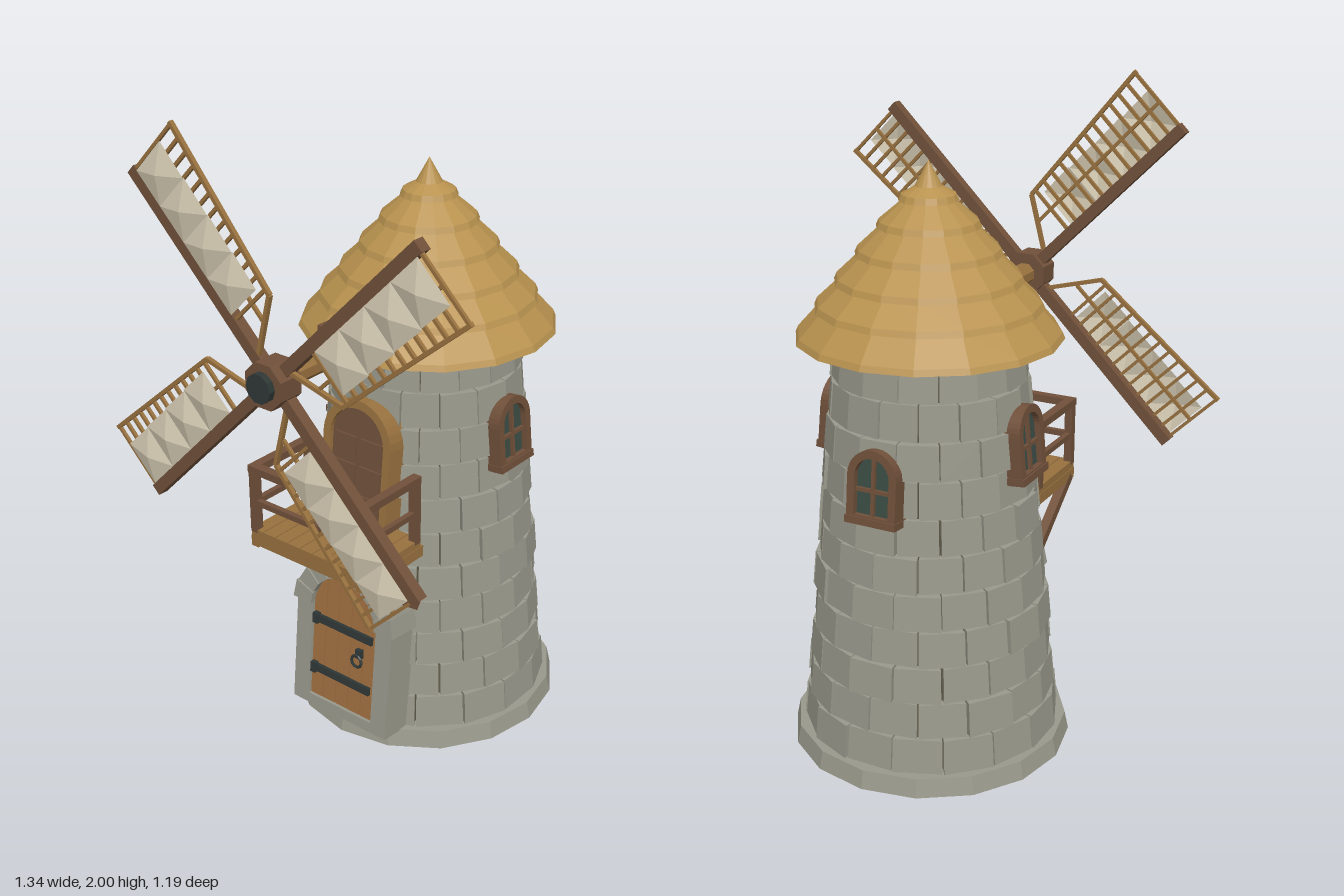
import * as THREE from 'three';
import { mergeGeometries } from 'three/addons/utils/BufferGeometryUtils.js';

const mat = (name, color, side = THREE.FrontSide) =>
  new THREE.MeshStandardMaterial({ name, color, side, flatShading: true });

const M = {
  stone: mat('stone', 0x9a998c),
  mortar: mat('mortar', 0x57523f),
  thatch: mat('thatch', 0xb8924f),
  darkWood: mat('dark wood', 0x70503a),
  wood: mat('wood', 0x98713f),
  doorWood: mat('door wood', 0xa06f40),
  canvas: mat('canvas', 0xd6ccb4, THREE.DoubleSide),
  iron: mat('iron', 0x2f3836),
  glass: mat('glass', 0x3c4c45),
};

function add(parent, name, geo, material, x = 0, y = 0, z = 0) {
  const m = new THREE.Mesh(geo, material);
  m.name = name;
  m.position.set(x, y, z);
  parent.add(m);
  return m;
}
const box = (p, name, m, w, h, d, x, y, z) => add(p, name, new THREE.BoxGeometry(w, h, d), m, x, y, z);

// Square beam between two points
function beam(p, name, m, a, b, w, d = w) {
  const A = new THREE.Vector3(...a), B = new THREE.Vector3(...b);
  const mesh = box(p, name, m, w, A.distanceTo(B), d, 0, 0, 0);
  mesh.position.addVectors(A, B).multiplyScalar(0.5);
  mesh.quaternion.setFromUnitVectors(new THREE.Vector3(0, 1, 0), B.sub(A).normalize());
  return mesh;
}

function group(parent, name, x = 0, y = 0, z = 0) {
  const g = new THREE.Group();
  g.name = name;
  g.position.set(x, y, z);
  parent.add(g);
  return g;
}

// Round-topped outline of half width hw from y0 to y1
function arch(hw, y0, y1, Type = THREE.Shape) {
  const s = new Type();
  s.moveTo(-hw, y0);
  s.lineTo(hw, y0);
  s.lineTo(hw, y1 - hw);
  s.absarc(0, y1 - hw, hw, 0, Math.PI, false);
  s.lineTo(-hw, y0);
  return s;
}
const extrude = (shape, depth) =>
  new THREE.ExtrudeGeometry(shape, { depth, bevelEnabled: false, curveSegments: 8 });
function archRing(outer, inner, depth) {
  const s = arch(...outer);
  s.holes.push(arch(...inner, THREE.Path));
  return extrude(s, depth);
}

const SLOPE = 0.095;
const wallR = y => 0.395 - SLOPE * (y - 0.055);

// Group on the wall at height y, facing outward and leaning with the taper
function onWall(tower, name, y, angle) {
  const r = wallR(y);
  const g = group(tower, name, Math.sin(angle) * r, y, Math.cos(angle) * r);
  g.rotation.set(-Math.atan(SLOPE), angle, 0, 'YXZ');
  return g;
}

function buildWall(tower) {
  let seed = 7;
  const rnd = () => (seed = (seed * 16807) % 2147483647) / 2147483647;
  add(tower, 'plinth', new THREE.CylinderGeometry(0.425, 0.437, 0.057, 16), M.stone, 0, 0.0285, 0);
  add(tower, 'wallCore', new THREE.CylinderGeometry(wallR(1.29) - 0.02, wallR(0.04) - 0.02, 1.25, 16), M.mortar, 0, 0.665, 0);
  // Staggered courses of blocks bent around the tower
  const rows = 11, count = 16, h = (1.29 - 0.055) / rows, stones = [];
  for (let i = 0; i < rows; i++) {
    for (let k = 0; k < count; k++) {
      const step = (Math.PI * 2) / count;
      const mid = (k + (i % 2) * 0.5) * step, half = step * (0.47 + rnd() * 0.02);
      const jut = rnd() * 0.012;
      const g = new THREE.BoxGeometry(1, 1, 1), p = g.attributes.position;
      for (let v = 0; v < p.count; v++) {
        const a = mid + p.getX(v) * 2 * half;
        const y = 0.055 + h * (i + 0.5) + p.getY(v) * (h - 0.006);
        const r = p.getZ(v) > 0 ? wallR(y) + jut : wallR(y) - 0.04;
        p.setXYZ(v, Math.sin(a) * r, y, Math.cos(a) * r);
      }
      g.computeVertexNormals();
      stones.push(g);
    }
  }
  add(tower, 'wallStones', mergeGeometries(stones), M.stone);
}

function buildRoof(tower) {
  add(tower, 'eaveRing', new THREE.CylinderGeometry(0.345, 0.345, 0.02, 16), M.darkWood, 0, 1.292, 0);
  // Overlapping thatch tiers as one stepped profile
  const rims = [[0.397, 1.295], [0.338, 1.383], [0.278, 1.46], [0.216, 1.54], [0.153, 1.62], [0.088, 1.695]];
  const pts = [[0, 1.3]];
  rims.forEach(([r, y], i) => {
    pts.push([r, y], [r - 0.008, y + 0.018]);
    const next = rims[i + 1];
    if (next) pts.push([next[0] - 0.018, next[1] + 0.006]);
  });
  pts.push([0.04, 1.735], [0, 1.808]);
  add(tower, 'thatchRoof', new THREE.LatheGeometry(pts.map(p => new THREE.Vector2(...p)), 16), M.thatch);
}

function buildWindow(tower, y, angle) {
  const g = onWall(tower, 'window', y, angle);
  add(g, 'windowFrame', archRing([0.08, 0, 0.222], [0.056, 0.026, 0.198], 0.07), M.darkWood, 0, 0, -0.035);
  add(g, 'windowGlass', extrude(arch(0.058, 0.02, 0.2), 0.03), M.glass, 0, 0, -0.014);
  box(g, 'mullion', M.darkWood, 0.011, 0.18, 0.014, 0, 0.11, 0.02);
  box(g, 'crossbar', M.darkWood, 0.114, 0.011, 0.014, 0, 0.1, 0.02);
  box(g, 'windowSill', M.darkWood, 0.166, 0.022, 0.08, 0, 0.01, 0);
}

function buildEntrance(tower) {
  const g = onWall(tower, 'entrance', 0.055, 0);
  const spring = 0.365, r = 0.13;
  add(g, 'doorSurround', archRing([0.192, 0, 0.557], [r, 0.035, spring + r], 0.155), M.stone, 0, 0, -0.1);
  // Wedge stones over the arch
  const n = 9;
  for (let i = 0; i < n; i++) {
    const a0 = (Math.PI * (i + 0.05)) / n, a1 = (Math.PI * (i + 0.95)) / n, R = i % 2 ? 0.196 : 0.203;
    const s = new THREE.Shape([[r, a0], [R, a0], [R, a1], [r, a1]].map(([q, a]) =>
      new THREE.Vector2(Math.cos(a) * q, Math.sin(a) * q)));
    add(g, 'archStone', extrude(s, 0.14), M.stone, 0, spring, -0.075);
  }
  add(g, 'doorBacking', extrude(arch(r, 0.03, spring + r), 0.05), M.darkWood, 0, 0, -0.02);
  // Planks cut to the arch
  const w = 0.052, top = x => spring + Math.sqrt(Math.max(0, r * r - x * x));
  for (let i = -2; i <= 2; i++) {
    const x0 = i * w - w / 2 + 0.002, x1 = i * w + w / 2 - 0.002;
    const s = new THREE.Shape([[x0, 0.036], [x1, 0.036], [x1, top(x1)], [i * w, top(i * w)], [x0, top(x0)]]
      .map(p => new THREE.Vector2(...p)));
    add(g, 'doorPlank', extrude(s, 0.02), M.doorWood, 0, 0, 0.025);
  }
  for (const y of [0.14, 0.32]) {
    box(g, 'hingeStrap', M.iron, 0.23, 0.026, 0.012, 0, y, 0.05);
    box(g, 'hingePin', M.iron, 0.02, 0.036, 0.02, -0.112, y, 0.052);
  }
  box(g, 'handlePlate', M.iron, 0.022, 0.03, 0.016, 0.068, 0.26, 0.052);
  add(g, 'handleRing', new THREE.TorusGeometry(0.02, 0.005, 5, 10), M.iron, 0.068, 0.238, 0.064);
}

function buildBalconyDoor(tower) {
  const g = onWall(tower, 'balconyDoor', 0.73, 0);
  add(g, 'balconyDoorFrame', archRing([0.13, 0, 0.41], [0.103, 0.005, 0.383], 0.08), M.wood, 0, 0, -0.04);
  add(g, 'balconyDoorLeaf', extrude(arch(0.105, 0.002, 0.385), 0.05), M.darkWood, 0, 0, -0.025);
  for (const x of [-0.05, 0.05])
    for (const y of [0.065, 0.16, 0.25]) box(g, 'doorPanel', M.darkWood, 0.084, 0.075, 0.01, x, y, 0.028);
}

function buildBalcony(root) {
  const g = group(root, 'balcony');
  for (let i = -4; i <= 4; i++) box(g, 'floorPlank', M.wood, 0.046, 0.028, 0.27, i * 0.0495, 0.726, 0.285);
  box(g, 'frontJoist', M.wood, 0.445, 0.03, 0.028, 0, 0.7, 0.405);
  for (const x of [-0.209, 0.209]) {
    box(g, 'sideJoist', M.wood, 0.028, 0.035, 0.28, x, 0.697, 0.28);
    beam(g, 'brace', M.darkWood, [x, 0.69, 0.4], [x, 0.51, 0.16], 0.03);
    for (const z of [0.408, 0.165]) box(g, 'railPost', M.darkWood, 0.026, 0.21, 0.026, x, 0.835, z);
    box(g, 'sideHandrail', M.darkWood, 0.03, 0.024, 0.27, x, 0.944, 0.287);
    box(g, 'sideMidRail', M.darkWood, 0.018, 0.018, 0.25, x, 0.832, 0.287);
  }
  box(g, 'frontHandrail', M.darkWood, 0.445, 0.024, 0.03, 0, 0.944, 0.408);
  box(g, 'frontMidRail', M.darkWood, 0.42, 0.018, 0.018, 0, 0.832, 0.408);
}

// Four cloth panels, each bulging to a point
function canvasGeometry(x0, x1, y0, y1, n) {
  const pos = [], h = (y1 - y0) / n;
  for (let i = 0; i < n; i++) {
    const a = y0 + i * h, b = a + h;
    const c = [[x0, a, 0], [x1, a, 0], [x1 + 0.004, b, 0], [x0, b, 0]];
    const peak = [(x0 + x1) / 2, (a + b) / 2, 0.018];
    c.forEach((p, k) => pos.push(...p, ...c[(k + 1) % 4], ...peak));
  }
  const g = new THREE.BufferGeometry();
  g.setAttribute('position', new THREE.Float32BufferAttribute(pos, 3));
  g.computeVertexNormals();
  return g;
}

function buildSails(root) {
  const Y = 1.33;
  box(root, 'axleHousing', M.darkWood, 0.135, 0.135, 0.19, 0, Y, 0.175);
  const round = (name, m, r, len, z, sides) => {
    add(root, name, new THREE.CylinderGeometry(r, r, len, sides).rotateY(Math.PI / sides).rotateX(Math.PI / 2), m, 0, Y, z);
  };
  round('axle', M.wood, 0.036, 0.3, 0.37, 8);
  round('hub', M.darkWood, 0.072, 0.082, 0.529, 8);
  round('hubCap', M.iron, 0.045, 0.04, 0.571, 10);
  const rail = y => 0.18 + (y - 0.18) * 0.09;
  for (let k = 0; k < 4; k++) {
    const s = group(root, 'sail', 0, Y, 0.53);
    s.rotation.z = Math.PI / 4 + (k * Math.PI) / 2;
    box(s, 'spar', M.darkWood, 0.036, 0.7, 0.035, 0, 0.368, -0.008);
    beam(s, 'outerRail', M.wood, [rail(0.18), 0.18, 0], [rail(0.715), 0.715, 0], 0.012, 0.014);
    beam(s, 'innerBrace', M.wood, [0, 0.075, 0], [rail(0.18), 0.18, 0], 0.012, 0.014);
    beam(s, 'middleRail', M.wood, [0.1, 0.14, -0.003], [0.11, 0.71, -0.003], 0.01);
    for (let i = 0; i < 13; i++) {
      const y = 0.2 + i * 0.0424;
      beam(s, 'rung', M.wood, [0, y, 0], [rail(y), y, 0], 0.01);
    }
    add(s, 'sailCanvas', canvasGeometry(0.018, 0.158, 0.215, 0.7, 4), M.canvas, 0, 0, 0.01);
  }
}

export function createModel() {
  const root = new THREE.Group();
  root.name = 'windmill';
  const tower = group(root, 'tower', 0, 0, -0.16);
  buildWall(tower);
  buildRoof(tower);
  buildWindow(tower, 0.907, Math.PI / 2);
  buildWindow(tower, 0.907, -Math.PI / 2);
  buildWindow(tower, 0.82, Math.PI);
  buildEntrance(tower);
  buildBalconyDoor(tower);
  buildBalcony(root);
  buildSails(root);
  return root;
}
